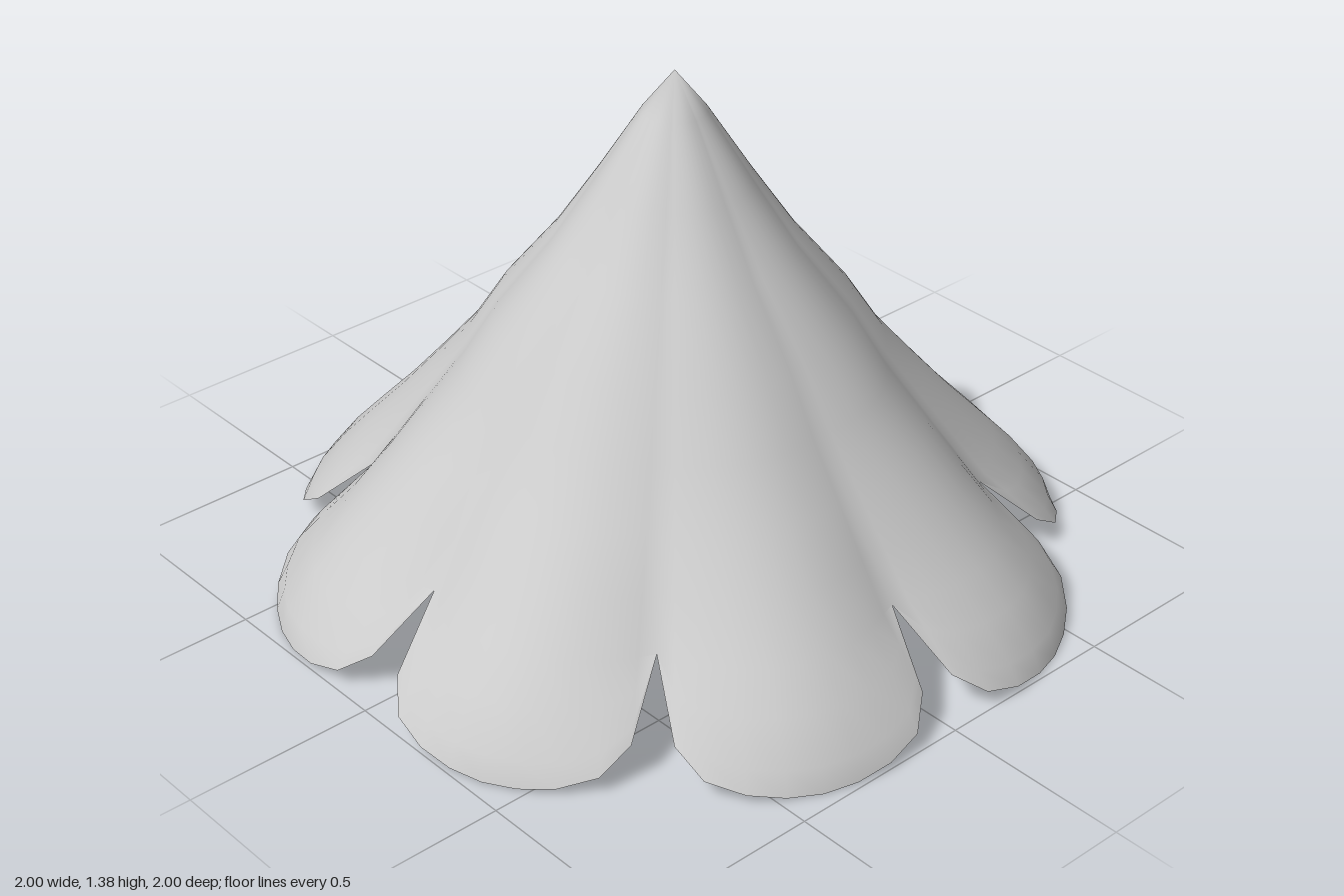
import * as THREE from 'three';

const PETALS = 8;

// Profiles from apex to notch height, as [radius, height]
const ridge = [[0, 1.385], [0.082, 1.28], [0.196, 1.1], [0.31, 0.93], [0.455, 0.75], [0.545, 0.61], [0.655, 0.48], [0.76, 0.36], [0.865, 0.25]];
const groove = [[0, 1.385], [0.08, 1.28], [0.19, 1.1], [0.298, 0.93], [0.437, 0.75], [0.522, 0.61], [0.615, 0.48], [0.7, 0.36], [0.777, 0.25]];

// Petal rim from centre line (s = 0) to notch (s = 1), as [s, radius, height]
const rim = [[0, 1.04, 0.003], [0.22, 1.036, 0.008], [0.45, 1.024, 0.022], [0.69, 0.997, 0.05], [0.864, 0.936, 0.105], [1, 0.777, 0.25]];

const mix = (a, b, t) => a + (b - a) * t;

// One line of the surface, from apex to rim
function column([s, rimR, rimY]) {
  const bulge = (1 - s * s) ** 1.3;
  const line = ridge.map(([r, y], i) => [mix(groove[i][0], r, bulge), y]);
  const [r0, y0] = line[line.length - 1];
  // Lower petal rounds over towards the rim
  for (const t of [0.4, 0.8]) {
    const puff = 0.12 * t * t * (1 - t) * (1 - s);
    line.push([mix(r0, rimR, t) + puff, mix(y0, rimY, t) + puff]);
  }
  line.push([rimR, rimY]);
  return line;
}

function flowerGeometry() {
  // Columns across one petal, leaving its last notch to the next petal
  const across = [...rim.slice(1).reverse().map(([s, r, y]) => [-s, r, y]), ...rim.slice(0, -1)];
  const columns = PETALS * across.length;
  const rows = ridge.length + 2;
  const positions = [0, ridge[0][1], 0];
  const index = [];

  for (let p = 0; p < PETALS; p++) {
    for (const [s, rimR, rimY] of across) {
      const angle = ((p + 0.5 + s / 2) / PETALS) * Math.PI * 2;
      const line = column([Math.abs(s), rimR, rimY]);
      for (const [r, y] of line.slice(1)) positions.push(r * Math.sin(angle), y, r * Math.cos(angle));
    }
  }
  for (let c = 0; c < columns; c++) {
    const a = 1 + c * rows;
    const b = 1 + ((c + 1) % columns) * rows;
    index.push(0, a, b);
    for (let i = 0; i < rows - 1; i++) {
      index.push(a + i, a + i + 1, b + i + 1, a + i, b + i + 1, b + i);
    }
  }

  const geometry = new THREE.BufferGeometry();
  geometry.setAttribute('position', new THREE.Float32BufferAttribute(positions, 3));
  geometry.setIndex(index);
  geometry.computeVertexNormals();
  return geometry;
}

export function createModel() {
  const group = new THREE.Group();
  group.name = 'bellFlower';
  const material = new THREE.MeshStandardMaterial({ color: 0xcccccc, side: THREE.DoubleSide });
  const petals = new THREE.Mesh(flowerGeometry(), material);
  petals.name = 'petals';
  group.add(petals);
  return group;
}
